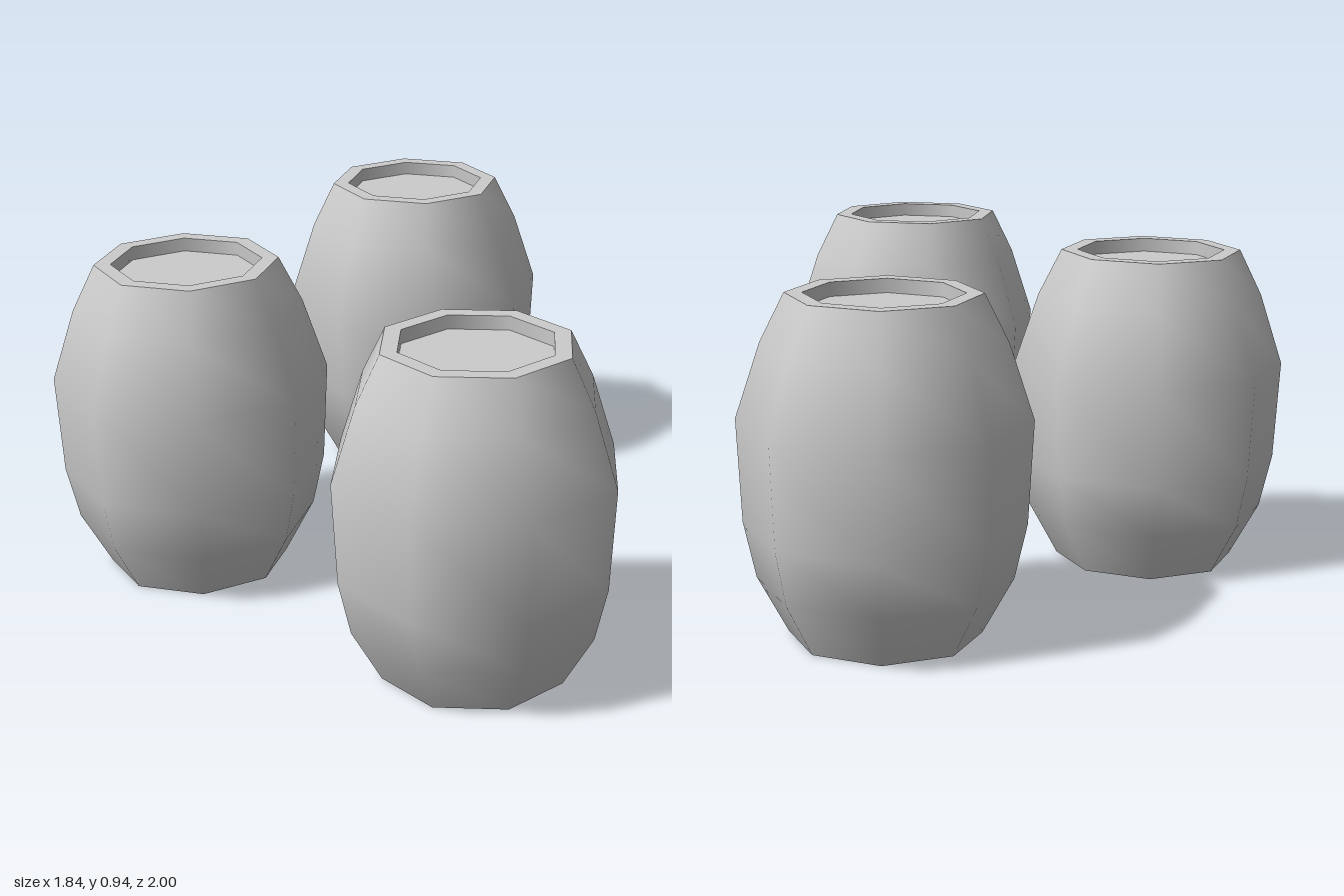
import * as THREE from 'three';

const SIDES = 8;
const HEIGHT = 0.945;
const LID_Y = 0.905;
const END_R = 0.266;   // radius at both ends
const INNER_R = 0.218; // radius inside the rim

// Each profile is a smooth strip; separate strips meet in a hard edge.
const PARTS = {
  bottom: [[0, 0], [END_R, 0]],
  staves: [[END_R, 0], [0.352, 0.155], [0.387, 0.31], [0.402, 0.6], [0.333, 0.81], [END_R, HEIGHT]],
  rim: [[END_R, HEIGHT], [INNER_R, HEIGHT]],
  rimInside: [[INNER_R, HEIGHT], [INNER_R, LID_Y]],
  lid: [[INNER_R, LID_Y], [0, LID_Y]],
};

// Position and turn of every barrel
const BARRELS = [
  { name: 'backBarrel', x: -0.382, z: -0.602, turn: -0.11 },
  { name: 'frontRightBarrel', x: -0.523, z: 0.449, turn: -0.11 },
  { name: 'frontLeftBarrel', x: 0.521, z: 0.598, turn: 0.09 },
];

export function createModel() {
  const model = new THREE.Group();
  model.name = 'barrels';
  const material = new THREE.MeshStandardMaterial({ color: 0xcccccc });

  const geometries = Object.entries(PARTS).map(([name, profile]) => [
    name,
    new THREE.LatheGeometry(profile.map(([r, y]) => new THREE.Vector2(r, y)), SIDES),
  ]);

  for (const { name, x, z, turn } of BARRELS) {
    const barrel = new THREE.Group();
    barrel.name = name;
    for (const [partName, geometry] of geometries) {
      const mesh = new THREE.Mesh(geometry, material);
      mesh.name = partName;
      barrel.add(mesh);
    }
    barrel.position.set(x, 0, z);
    barrel.rotation.y = turn;
    model.add(barrel);
  }
  return model;
}
